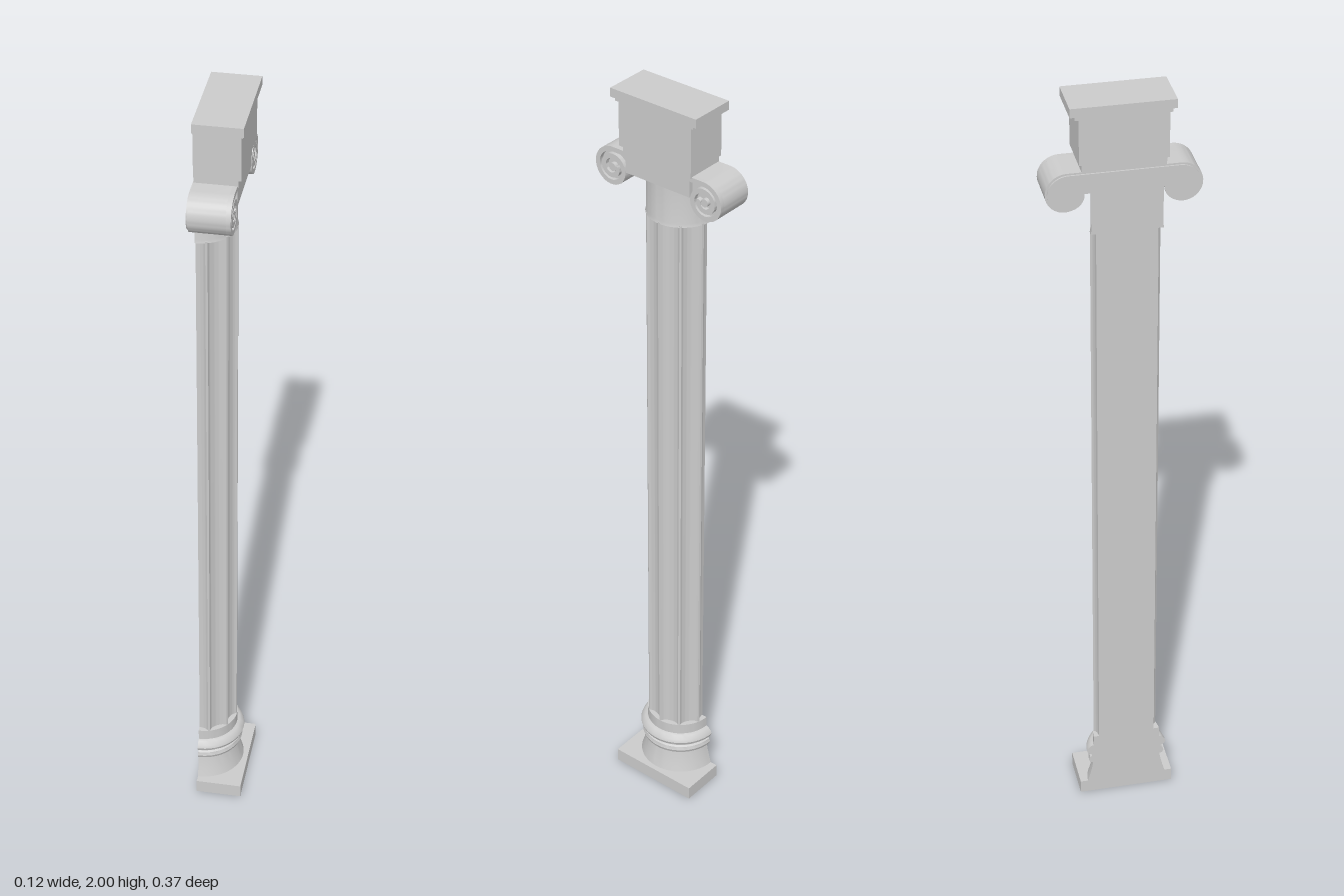
import * as THREE from 'three';
import { toCreasedNormals } from 'three/addons/utils/BufferGeometryUtils.js';

const BACK = -0.058; // wall plane of the half column
const AXIS_Z = 0.007; // column axis
const material = new THREE.MeshStandardMaterial({ color: 0xcccccc });
const V = (x, y) => new THREE.Vector2(x, y);

export function createModel() {
  const model = new THREE.Group();

  function add(name, geometry, x = 0, y = 0, z = 0, parent = model) {
    const mesh = new THREE.Mesh(geometry, material);
    mesh.name = name;
    mesh.position.set(x, y, z);
    parent.add(mesh);
    return mesh;
  }

  // Box given by its limits
  function block(name, x0, x1, y0, y1, z0, z1, parent) {
    add(name, new THREE.BoxGeometry(x1 - x0, y1 - y0, z1 - z0),
      (x0 + x1) / 2, (y0 + y1) / 2, (z0 + z1) / 2, parent);
  }

  // Half turned solid against the wall, closed by a flat back
  function halfTurned(name, profile) {
    const part = new THREE.Group();
    part.name = name;
    part.position.set(BACK, 0, AXIS_Z);
    model.add(part);
    const points = profile.map(([r, y]) => V(r, y));
    const round = new THREE.LatheGeometry(points, 32, 0, Math.PI);
    add(name + 'Round', toCreasedNormals(round.toNonIndexed(), 0.6), 0, 0, 0, part);
    const mirrored = points.map(p => V(-p.x, p.y)).reverse();
    const flat = new THREE.ShapeGeometry(new THREE.Shape([...points, ...mirrored]));
    add(name + 'Back', flat.rotateY(-Math.PI / 2), 0, 0, 0, part);
  }

  // Outline in the z-y plane, thickened from x0 to x1
  function plate(name, outline, x0, x1, parent) {
    const g = new THREE.ExtrudeGeometry(new THREE.Shape(outline),
      { depth: x1 - x0, bevelEnabled: false }).rotateY(Math.PI / 2);
    return add(name, toCreasedNormals(g, 0.5), x0, 0, 0, parent);
  }

  // Plinth and moulded base
  block('plinth', BACK, 0.059, 0, 0.036, -0.116, 0.129);
  halfTurned('base', [
    [0, 0.034], [0.104, 0.034], [0.098, 0.055], [0.092, 0.08], [0.089, 0.097],
    [0.097, 0.1], [0.1, 0.108], [0.097, 0.117], [0.092, 0.12], [0.092, 0.125],
    [0.102, 0.13], [0.105, 0.138], [0.102, 0.146], [0.094, 0.154],
    [0.087, 0.156], [0.087, 0.185], [0, 0.185]]);

  // Fluted shaft: ridges every 36 degrees, hollow flutes between them
  const pitch = Math.PI / 5, ridge = 0.045, steps = 100;
  const section = [];
  for (let i = 0; i <= steps; i++) {
    const a = -Math.PI / 2 + Math.PI * i / steps;
    const off = Math.abs(a - pitch * Math.round(a / pitch));
    const t = Math.max(0, (off - ridge) / (pitch / 2 - ridge));
    const r = 0.086 - 0.013 * Math.sqrt(1 - (1 - t) ** 2);
    section.push(V(r * Math.cos(a), r * Math.sin(a)));
  }
  const shaft = new THREE.ExtrudeGeometry(new THREE.Shape(section),
    { depth: 1.504, bevelEnabled: false }).rotateX(-Math.PI / 2);
  add('flutedShaft', toCreasedNormals(shaft, 0.45), BACK, 0.18, AXIS_Z);

  // Plain neck under the scrolls
  halfTurned('neck', [[0, 1.68], [0.086, 1.68], [0.084, 1.688], [0.084, 1.81], [0, 1.81]]);

  // Scroll capital
  const capital = new THREE.Group();
  capital.name = 'scrollCapital';
  model.add(capital);
  const cz = 0.134, cy = 1.788, R = 0.053;
  const spiral = (turn, inset = 0) => {
    const a = Math.PI / 2 - turn * 2 * Math.PI;
    const r = R - 0.018 * turn - inset;
    return V(cz + r * Math.cos(a), cy + r * Math.sin(a));
  };
  const half = [];
  for (let i = 0; i <= 36; i++) half.push(spiral(0.75 * i / 36));
  const mirror = pts => pts.map(p => V(-p.x, p.y)).reverse();
  const outline = [...half, ...mirror(half)];
  plate('capitalBody', outline, -0.057, 0.03, capital);
  plate('capitalBackPlate', outline.map(p => V(p.x * 0.975, cy + (p.y - cy) * 0.92)),
    -0.061, -0.057, capital);
  block('capitalBand', 0.029, 0.041, cy, cy + R, -0.093, 0.093, capital);
  block('capitalTopRim', 0.029, 0.041, cy + R - 0.012, cy + R, -cz, cz, capital);

  // Raised spirals with a round eye at each end
  const outer = [], inner = [];
  for (let i = 0; i <= 80; i++) {
    const turn = 1.8 * i / 80;
    outer.push(spiral(turn));
    inner.push(spiral(turn, 0.012));
  }
  const ridgeOutline = [...outer, ...inner.reverse()];
  for (const side of [-1, 1]) {
    const label = side > 0 ? 'Right' : 'Left';
    plate('spiral' + label, side > 0 ? ridgeOutline : mirror(ridgeOutline), 0.029, 0.041, capital);
    const eye = new THREE.CylinderGeometry(0.01, 0.01, 0.012, 20).rotateZ(Math.PI / 2);
    add('scrollEye' + label, eye, 0.034, cy, -side * cz, capital);
  }

  // Block and slab on top
  block('blockFoot', BACK, 0.044, 1.838, 1.862, -0.098, 0.098);
  block('topBlock', BACK, 0.051, 1.858, 1.98, -0.104, 0.104);
  block('topMoulding', BACK, 0.055, 1.97, 1.98, -0.113, 0.111);
  block('topSlab', BACK, 0.059, 1.978, 2, -0.124, 0.121);

  return model;
}
